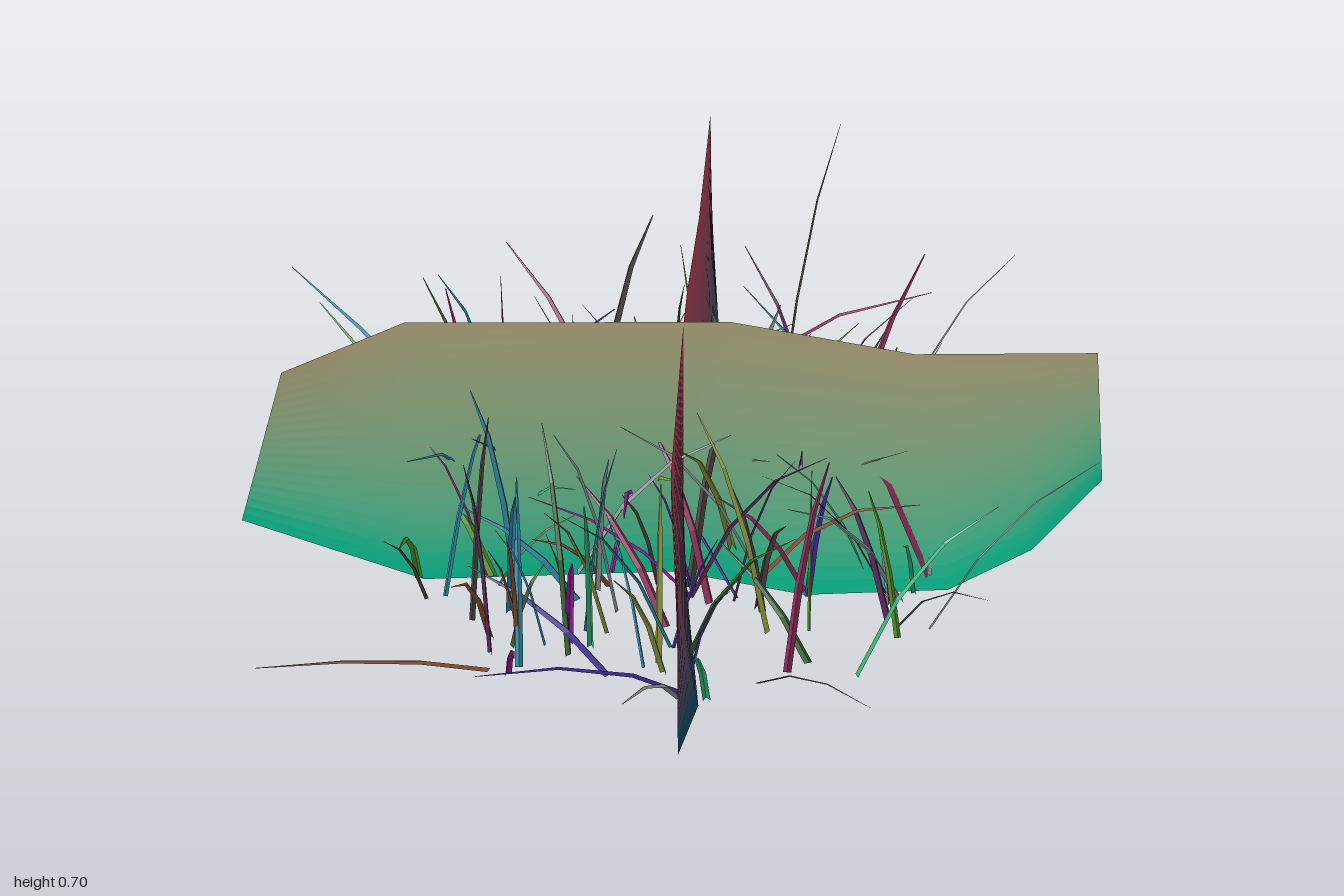
import * as THREE from 'three';

// Small seeded generator for the scattered blades
let seed = 7;
const rand = (a = 0, b = 1) => {
  seed = (seed * 16807) % 2147483647;
  return a + (b - a) * (seed / 2147483647);
};

// Surface through rows of points, lowest row first
function loft(rows) {
  const n = rows[0].length, index = [];
  for (let r = 0; r < rows.length - 1; r++) {
    for (let i = 0; i < n - 1; i++) {
      const a = r * n + i, d = a + n;
      index.push(a, a + 1, d + 1, a, d + 1, d);
    }
  }
  const g = new THREE.BufferGeometry().setFromPoints(rows.flat());
  g.setIndex(index);
  g.computeVertexNormals();
  return g;
}

const V = (x, y, z) => new THREE.Vector3(x, y, z);

// Panel outline, left to right: lower edge swings forward, upper edge stays straight
const LOWER = [V(-0.99, 0.15, 0.05), V(-0.57, 0.02, 0.07), V(0, 0.02, 0), V(0.3, 0, 0.05),
  V(0.63, 0.03, 0.055), V(0.82, 0.13, 0.03), V(0.98, 0.31, 0.005)];
const UPPER = [V(-0.9, 0.55, 0.045), V(-0.62, 0.675, 0.01), V(0, 0.695, 0), V(0.13, 0.7, 0),
  V(0.55, 0.63, 0), V(0.76, 0.64, 0), V(0.97, 0.65, 0)];

// Upright foliage panel, shaded from bottom to top in narrow bands
function createPanel(name, bottom, top) {
  const panel = new THREE.Group();
  panel.name = name;
  const bands = 20;
  const row = (t) => LOWER.map((p, i) => {
    const q = p.clone().lerp(UPPER[i], t);
    q.z = THREE.MathUtils.lerp(UPPER[i].z, p.z, (1 - t) ** 2);
    return q;
  });
  const [c0, c1] = [bottom, top].map((c) => new THREE.Color(c));
  for (let k = 0; k < bands; k++) {
    const material = new THREE.MeshStandardMaterial({ side: THREE.DoubleSide });
    material.color.copy(c0).lerp(c1, Math.max(0, (k + 0.5) / bands - 0.06));
    const band = new THREE.Mesh(loft([row(k / bands), row((k + 1) / bands)]), material);
    band.name = name + 'Band';
    panel.add(band);
  }
  return panel;
}

const COLORS = [0x8a2a58, 0x4f8f2c, 0x40309a, 0x8a5236, 0x2f86a0, 0x35b078, 0x85903c,
  0x8f1f94, 0x8c9696, 0x4a4440, 0x2f5a2a, 0x5a2a5a];
const bladeMaterials = COLORS.map((color) =>
  new THREE.MeshStandardMaterial({ color, side: THREE.DoubleSide, flatShading: true }));

// Grass blade folded along its spine, bending from root to tip
function createBlade(root, tip, width, color) {
  const bend = root.clone().lerp(tip, 0.4);
  bend.y = root.y + (tip.y - root.y) * 0.78;
  const curve = new THREE.QuadraticBezierCurve3(root, bend, tip);
  const turn = Math.atan2(tip.z - root.z, tip.x - root.x) + Math.PI / 2 + rand(-0.6, 0.6);
  const side = V(Math.cos(turn), 0, Math.sin(turn));
  const rows = curve.getPoints(3).map((p, i) => {
    const half = (width / 2) * (1 - 0.85 * (i / 3) ** 2.5);
    const fold = V(-side.z, 0, side.x).multiplyScalar(half * 0.8);
    fold.y = half * 0.5;
    return [p.clone().addScaledVector(side, -half), p.clone().add(fold),
      p.clone().addScaledVector(side, half)];
  });
  const blade = new THREE.Mesh(loft(rows), bladeMaterials[color]);
  blade.name = 'grassBlade';
  return blade;
}

// Long outer blades: root x, root z, tip x, tip z, tip height, colour
const LONG_BLADES = [
  [-0.49, -0.43, -0.94, -0.96, 0.2, 4],
  [-0.46, -0.43, -0.59, -1.0, 0.13, 0],
  [-0.16, -0.5, -0.44, -0.83, 0.37, 0],
  [-0.58, -0.3, -0.85, -0.56, 0.36, 1],
  [0.2, -0.6, 0.32, -0.94, 0.65, 9],
  [0.35, -0.38, 0.52, -0.84, 0.37, 0],
  [0.42, -0.5, 0.74, -0.32, 0.4, 6],
  [0.45, -0.5, 0.74, -0.68, 0.48, 9],
  [0.6, 0.24, 0.98, 0.07, 0.4, 9],
  [0.6, 0.0, 0.9, -0.22, 0.15, 9],
  [0.45, 0.45, 0.77, 0.4, 0.48, 5],
  [0.52, 0.25, 0.76, 0.6, 0.35, 9],
  [0.22, 0.5, 0.51, 0.95, 0.27, 9],
  [0.11, 0.58, 0.09, 0.82, 0.3, 5],
  [0.05, 0.58, -0.06, 0.97, 0.27, 8],
  [0.08, 0.57, -0.4, 0.92, 0.3, 2],
  [-0.4, 0.48, -0.92, 0.68, 0.15, 3],
  [-0.35, 0.5, -0.32, 0.76, 0.25, 7],
  [-0.4, 0.35, -0.47, 0.7, 0.4, 3],
  [-0.58, 0.1, -0.6, 0.55, 0.4, 1],
  [-0.11, -0.2, -0.09, 0.43, 0.43, 7],
  [0.0, -0.58, 0.56, -0.47, 0.5, 0],
  [0.2, 0.05, 0.58, 0.28, 0.4, 3],
  [-0.42, -0.2, -0.6, 0.25, 0.45, 4],
];

export function createModel() {
  const model = new THREE.Group();
  model.name = 'grassClump';

  // Two crossed panels
  model.add(createPanel('widePanel', 0x0cbe92, 0xbcaa7e));
  const deep = createPanel('deepPanel', 0x0f4c62, 0xb63c50);
  deep.rotation.y = Math.PI / 2;
  deep.position.x = 0.02;
  model.add(deep);

  const grass = new THREE.Group();
  grass.name = 'grassBlades';
  model.add(grass);

  for (const [x, z, tx, tz, ty, color] of LONG_BLADES) {
    const width = color === 9 ? 0.007 : 0.018;
    grass.add(createBlade(V(x, 0.04, z), V(tx, ty, tz), width, color));
  }

  // Scattered blades rising around the panels
  for (let i = 0; i < 140; i++) {
    const a = rand(0, Math.PI * 2), r = 0.6 * Math.sqrt(rand(0.02, 1));
    const root = V(r * Math.cos(a), rand(0.03, 0.07), r * Math.sin(a));
    const lean = rand(0, Math.PI * 2), reach = rand(0.06, 0.38);
    const outer = Math.hypot(root.x + reach * Math.cos(lean), root.z + reach * Math.sin(lean));
    const length = outer > 0.72 ? reach * 0.5 : reach;
    const tip = V(root.x + length * Math.cos(lean), rand(0.22, 0.58), root.z + length * Math.sin(lean));
    grass.add(createBlade(root, tip, rand(0.006, 0.022), Math.floor(rand(0, COLORS.length))));
  }
  return model;
}
